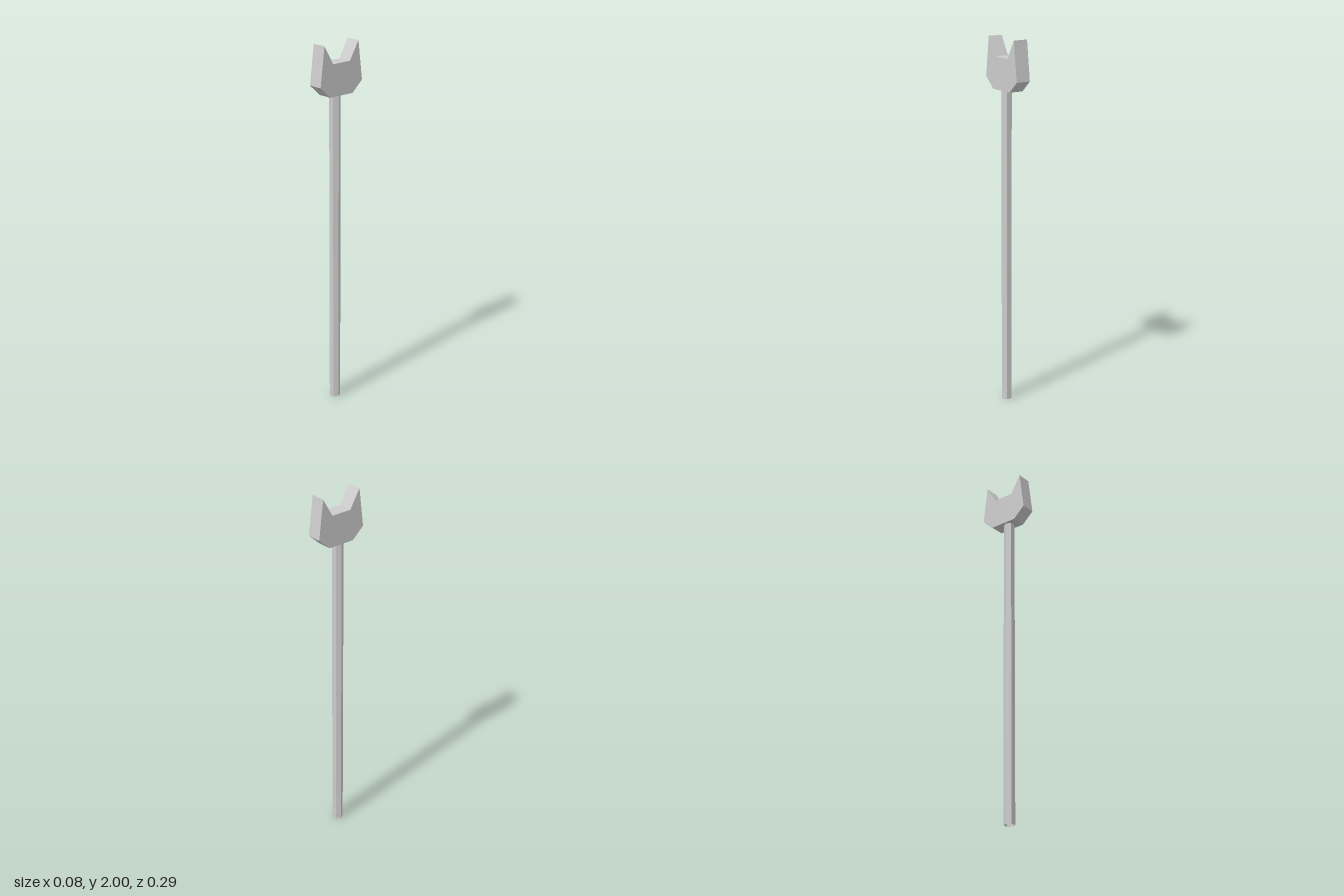
import * as THREE from 'three';

export function createModel() {
  const model = new THREE.Group();
  const material = new THREE.MeshStandardMaterial({ color: 0xcccccc, flatShading: true, side: THREE.DoubleSide });

  // Open-ended hexagonal shaft, flats facing front and back, set slightly forward
  const shaftHeight = 1.73;
  const shaftGeometry = new THREE.CylinderGeometry(0.03, 0.03, shaftHeight, 6, 1, true);
  shaftGeometry.rotateY(Math.PI / 2);
  const shaft = new THREE.Mesh(shaftGeometry, material);
  shaft.name = 'shaft';
  shaft.position.set(0, shaftHeight / 2, 0.01);
  model.add(shaft);

  // Two-pronged head: half profile as [z, y], mirrored front to back
  const half = [[0.077, 1.73], [0.144, 1.79], [0.117, 2], [0.058, 1.9]];
  const mirrored = half.map(([z, y]) => [-z, y]).reverse();
  const outline = [...half, ...mirrored].map(([z, y]) => new THREE.Vector2(z, y));
  const width = 0.08;
  const headGeometry = new THREE.ExtrudeGeometry(new THREE.Shape(outline), { depth: width, bevelEnabled: false });
  headGeometry.translate(0, 0, -width / 2);
  headGeometry.rotateY(-Math.PI / 2);
  const head = new THREE.Mesh(headGeometry, material);
  head.name = 'forkedHead';
  model.add(head);

  return model;
}
